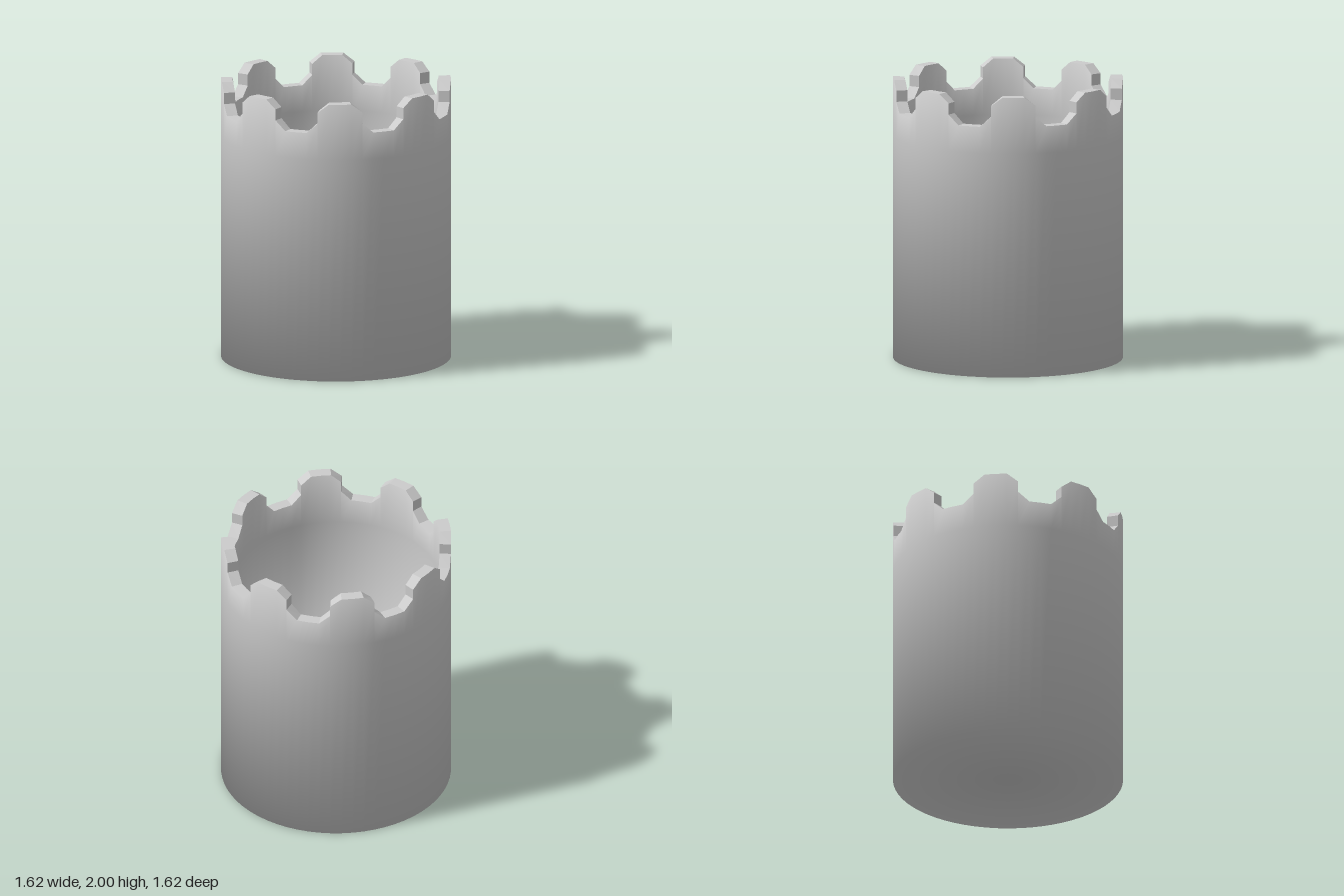
import * as THREE from 'three';

const R_OUT = 0.81, R_IN = 0.73, FLOOR = 0.08, COLLAR = 1.6;
const STEP = Math.PI / 32, TEETH = 8;

// One notch and one tooth of the battlement: [angular step, height]
const PROFILE = [
  [-1, 1.79], [0, 1.79], [1, 1.79], [2, 1.86], [2, 1.94],
  [3, 2], [4, 2], [5, 2], [6, 1.94], [6, 1.86],
];
const RIM = [];
for (let k = 0; k < TEETH; k++) {
  for (const [s, y] of PROFILE) RIM.push({ angle: (s + 8 * k) * STEP, y });
}

// Closed strip through rows [radius, height (null = rim height), normal radial, normal up]
function revolve(rows) {
  const n = RIM.length, pos = [], nor = [], index = [];
  for (const [r, h, nr, ny] of rows) {
    const len = Math.hypot(nr, ny);
    for (const { angle, y } of RIM) {
      const s = Math.sin(angle), c = Math.cos(angle);
      pos.push(r * s, h === null ? y : h, r * c);
      nor.push((nr * s) / len, ny / len, (nr * c) / len);
    }
  }
  for (let j = 0; j < rows.length - 1; j++) {
    for (let i = 0; i < n; i++) {
      const i2 = (i + 1) % n;
      const a = j * n + i, b = j * n + i2, c = b + n, d = a + n;
      if (rows[j][0] > 0) index.push(a, b, c);
      if (rows[j + 1][0] > 0) index.push(a, c, d);
    }
  }
  const g = new THREE.BufferGeometry();
  g.setAttribute('position', new THREE.Float32BufferAttribute(pos, 3));
  g.setAttribute('normal', new THREE.Float32BufferAttribute(nor, 3));
  g.setIndex(index);
  return g;
}

export function createModel() {
  const group = new THREE.Group();
  group.name = 'tower';
  const add = (name, geometry, flatShading = false) => {
    const mesh = new THREE.Mesh(geometry, new THREE.MeshStandardMaterial({ color: 0xcccccc, flatShading }));
    mesh.name = name;
    group.add(mesh);
  };

  // Underside and outer wall, softly shaded across the bottom edge
  add('outerWall', revolve([
    [0, 0, 0, -1], [R_OUT, 0, 1, -1], [R_OUT, COLLAR, 1, 0], [R_OUT, null, 1, 0.4],
  ]));

  // Faceted battlement edge
  const rim = revolve([[R_OUT, null, 0, 1], [R_IN, null, 0, 1]]).toNonIndexed();
  rim.computeVertexNormals();
  add('battlementRim', rim, true);

  // Inner wall and floor
  add('innerWall', revolve([
    [R_IN, null, -1, 0.4], [R_IN, COLLAR, -1, 0], [R_IN, FLOOR, -1, 1], [0, FLOOR, 0, 1],
  ]));

  return group;
}
